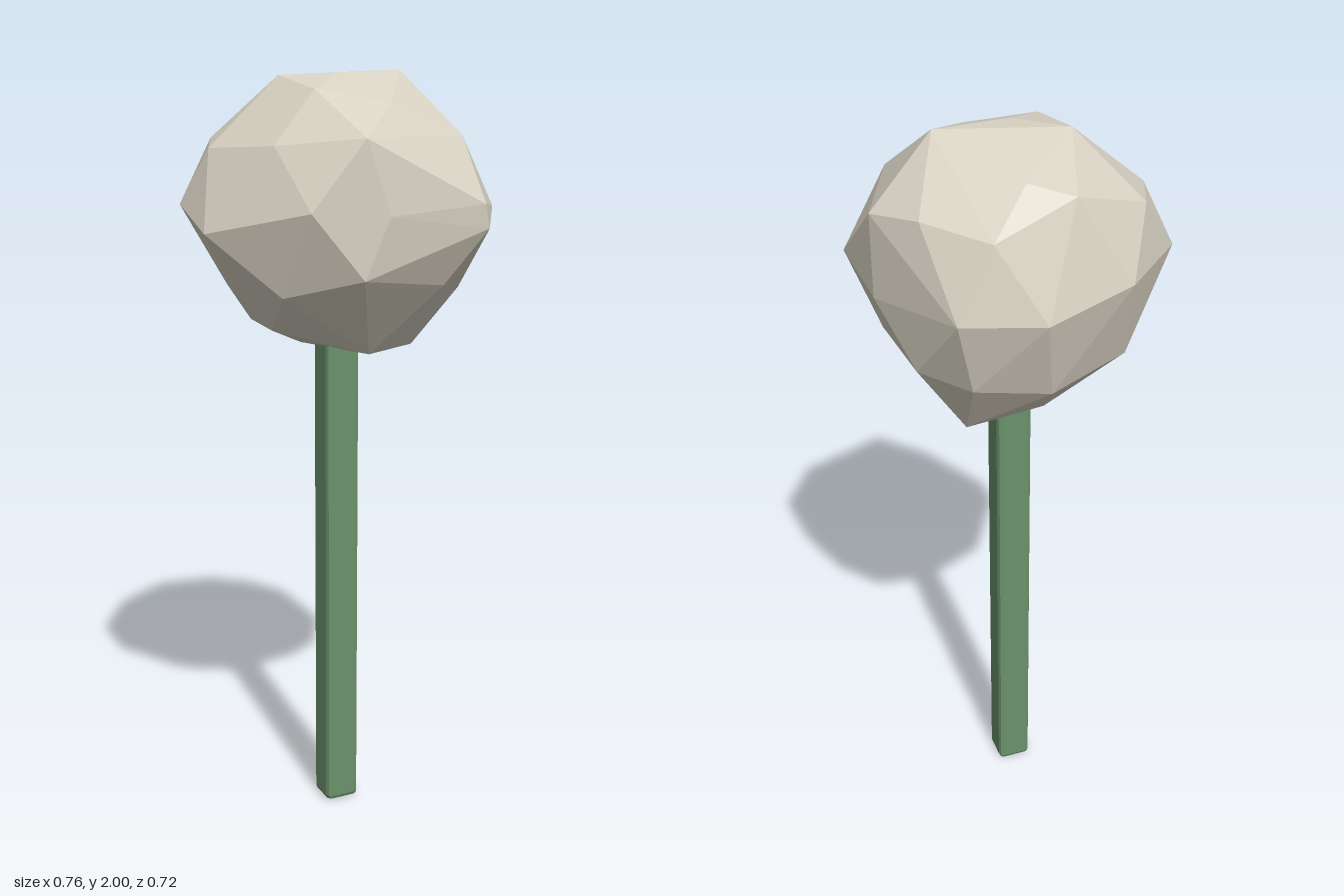
import * as THREE from 'three';
import { ConvexGeometry } from 'three/addons/geometries/ConvexGeometry.js';
import { RoundedBoxGeometry } from 'three/addons/geometries/RoundedBoxGeometry.js';

// Corner points of the rough-hewn stone, ring by ring from top to bottom
const STONE_RINGS = [
  // crown
  [[0.2, 2, -0.02], [0, 1.99, 0.02], [-0.12, 1.985, -0.07]],
  // shoulder
  [[0.05, 1.93, -0.23], [-0.055, 1.9, -0.27], [0.15, 1.83, -0.3], [-0.26, 1.83, -0.19],
    [-0.33, 1.81, -0.02], [-0.12, 1.95, 0.15], [0.05, 1.92, 0.22], [0.25, 1.84, 0.22],
    [-0.08, 1.84, 0.35], [-0.24, 1.82, 0.18], [0.36, 1.83, -0.04], [0.28, 1.85, -0.17]],
  // waist
  [[0.04, 1.64, -0.358], [0.24, 1.65, -0.31], [-0.19, 1.68, -0.3], [-0.38, 1.67, -0.1],
    [-0.38, 1.61, 0.07], [-0.205, 1.67, 0.315], [-0.02, 1.66, 0.358], [0.25, 1.68, 0.34],
    [0.265, 1.62, 0.335], [0.38, 1.66, 0.16], [0.36, 1.62, -0.04]],
  // underside
  [[0.3, 1.45, 0.13], [0.29, 1.46, -0.14], [0.17, 1.48, 0.28], [-0.08, 1.51, 0.345],
    [-0.23, 1.46, 0.2], [-0.29, 1.47, 0], [-0.22, 1.45, -0.2], [0, 1.42, -0.28],
    [0.19, 1.45, -0.26]],
  // base
  [[0.17, 1.282, -0.14], [0.19, 1.3, 0.08], [0.02, 1.3, 0.17], [-0.04, 1.29, -0.12],
    [-0.2, 1.36, 0.06], [-0.2, 1.37, -0.08]],
];

export function createModel() {
  const model = new THREE.Group();

  // Faceted stone head
  const points = STONE_RINGS.flat().map((p) => new THREE.Vector3(...p));
  const head = new THREE.Mesh(
    new ConvexGeometry(points),
    new THREE.MeshStandardMaterial({ color: 0xd8d2c3, flatShading: true }),
  );
  head.name = 'stoneHead';

  // Square handle with softened edges, its top buried in the stone
  const height = 1.42;
  const handle = new THREE.Mesh(
    new RoundedBoxGeometry(0.094, height, 0.094, 1, 0.014),
    new THREE.MeshStandardMaterial({ color: 0x6c936c, flatShading: true }),
  );
  handle.name = 'handle';
  handle.position.set(0.005, height / 2, 0.01);

  model.add(head, handle);
  return model;
}
